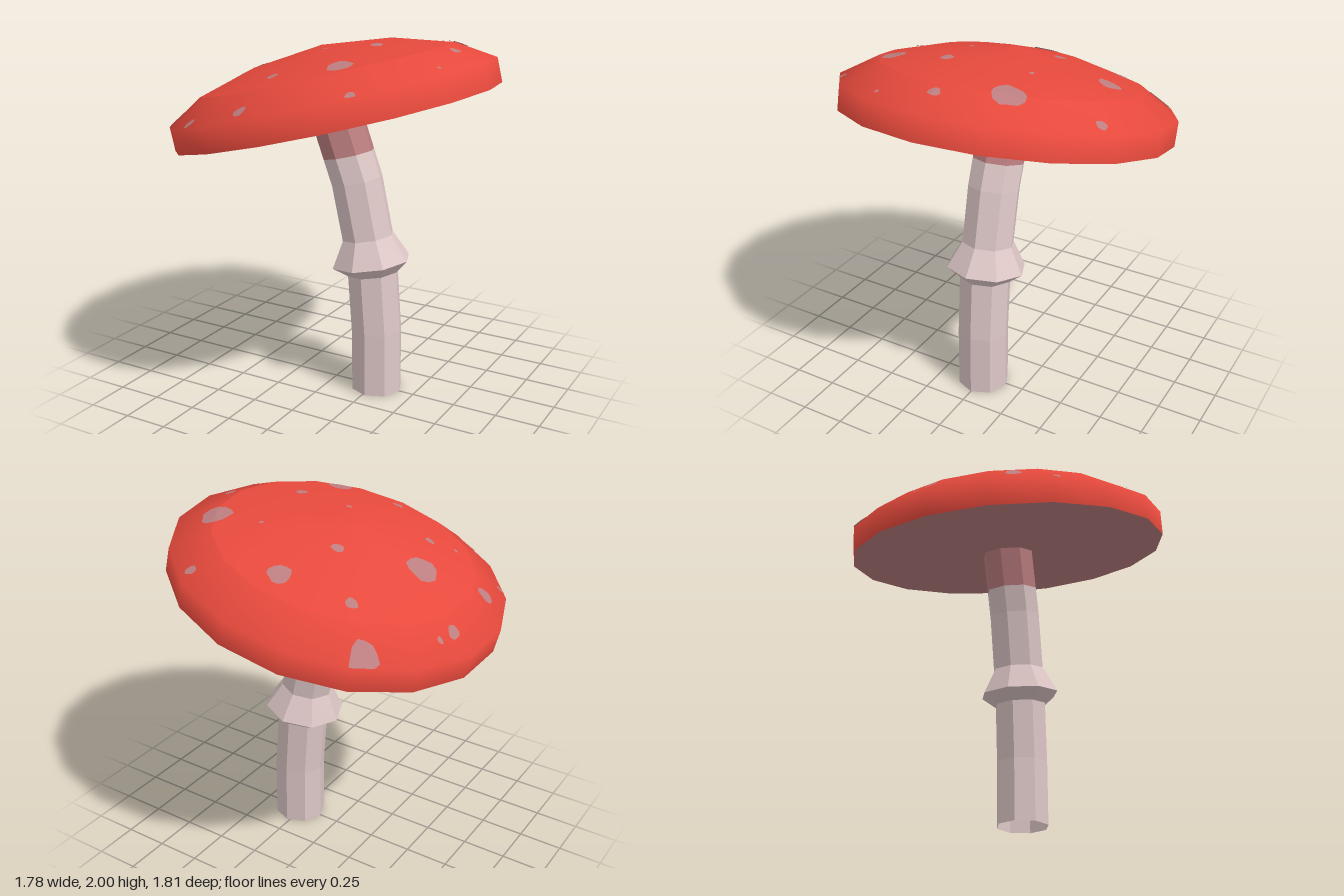
import * as THREE from 'three';

const red = new THREE.MeshStandardMaterial({ name: 'capRed', color: 0xe6493c });
const cream = new THREE.MeshStandardMaterial({ name: 'stemCream', color: 0xdec7c7, side: THREE.DoubleSide });
const pink = new THREE.MeshStandardMaterial({ name: 'dustyPink', color: 0xbc7e80, side: THREE.DoubleSide });

const TILT = THREE.MathUtils.degToRad(14.1);
const CENTRE = { x: 0.002, y: 1.568 };
const SIDES = 17;
// Cap profile from the rim up: [radius, height]
const PROFILE = [[0.91, 0], [0.91, 0.135], [0.71, 0.257], [0.387, 0.35], [0, 0.393]];

function addMesh(group, name, geometry, material) {
  const mesh = new THREE.Mesh(geometry, material);
  mesh.name = name;
  group.add(mesh);
}

function lathe(points) {
  return new THREE.LatheGeometry(points.map(([r, y]) => new THREE.Vector2(r, y)), SIDES, Math.PI / 2);
}

// Flat-sided octagonal skin through rings of [x, y, radius, tilt in degrees]
function loft(rings, sides = 8) {
  const positions = [], index = [];
  rings.forEach(([x, y, r, deg], i) => {
    const t = THREE.MathUtils.degToRad(deg);
    for (let j = 0; j < sides; j++) {
      const a = (j / sides) * Math.PI * 2;
      const u = r * Math.cos(a);
      positions.push(x + u * Math.cos(t), y + u * Math.sin(t), -r * Math.sin(a));
      if (i === rings.length - 1) continue;
      const p = i * sides + j, q = i * sides + (j + 1) % sides;
      index.push(p, q, p + sides, q, q + sides, p + sides);
    }
  });
  const indexed = new THREE.BufferGeometry();
  indexed.setAttribute('position', new THREE.Float32BufferAttribute(positions, 3));
  indexed.setIndex(index);
  const geometry = indexed.toNonIndexed();
  geometry.computeVertexNormals();
  return geometry;
}

// Radius of the cap polygon that passes through (u, z)
function polygonRadius(u, z) {
  const step = (Math.PI * 2) / SIDES;
  const a = (Math.atan2(-z, u) + Math.PI * 2) % step;
  return Math.hypot(u, z) * Math.cos(a - step / 2) / Math.cos(step / 2);
}

// Height of the faceted cap at a polygon radius
function capHeight(r) {
  for (let i = PROFILE.length - 1; i > 1; i--) {
    const [r0, y0] = PROFILE[i], [r1, y1] = PROFILE[i - 1];
    if (r <= r1) return y0 + (y1 - y0) * (r - r0) / (r1 - r0);
  }
  return PROFILE[1][1];
}

// Irregular patch laid onto the cap, placed by its position seen from above
function spotGeometry(x, z, rx, rz, seed) {
  const geometry = new THREE.RingGeometry(0, 1, 12, 4);
  geometry.rotateX(-Math.PI / 2);
  const pos = geometry.attributes.position;
  for (let i = 0; i < pos.count; i++) {
    const a = Math.atan2(pos.getZ(i), pos.getX(i));
    const wobble = 1 + 0.08 * Math.sin(3 * a + seed) + 0.05 * Math.sin(5 * a + 2 * seed);
    const wx = x + pos.getX(i) * rx * wobble;
    let wz = z + pos.getZ(i) * rz * wobble;
    let u = 0, v = 0.2;
    for (let k = 0; k < 8; k++) {
      u = (wx - CENTRE.x + v * Math.sin(TILT)) / Math.cos(TILT);
      v = capHeight(polygonRadius(u, wz));
    }
    const fit = Math.min(1, 0.912 / Math.max(polygonRadius(u, wz), 0.001));
    pos.setXYZ(i, u * fit, v + 0.005, wz * fit);
  }
  geometry.computeVertexNormals();
  return geometry;
}

// Spots: x, z, half width, half depth
const SPOTS = [
  [-0.58, -0.66, 0.065, 0.085], [-0.045, -0.575, 0.06, 0.06], [0.38, -0.73, 0.03, 0.028],
  [-0.405, -0.49, 0.032, 0.03], [0.54, -0.32, 0.082, 0.085], [-0.16, -0.235, 0.034, 0.032],
  [0.265, -0.295, 0.013, 0.012], [-0.775, -0.27, 0.015, 0.014], [-0.795, -0.17, 0.026, 0.036],
  [-0.51, 0.015, 0.075, 0.09], [0.69, -0.005, 0.028, 0.034], [0.325, 0.155, 0.032, 0.035],
  [0.04, 0.185, 0.016, 0.013], [-0.75, 0.27, 0.037, 0.045], [-0.39, 0.31, 0.026, 0.024],
  [-0.49, 0.425, 0.014, 0.012], [0.3, 0.5, 0.065, 0.065], [-0.04, 0.575, 0.029, 0.027],
  [0.735, 0.295, 0.011, 0.01], [0.475, 0.71, 0.027, 0.025], [-0.41, 0.78, 0.03, 0.025],
  [-0.06, 0.84, 0.033, 0.028], [-0.73, 0.5, 0.02, 0.02],
];

export function createModel() {
  const model = new THREE.Group();
  model.name = 'mushroom';

  // Curved stem with a flared collar and a pink neck
  const stem = new THREE.Group();
  stem.name = 'stem';
  model.add(stem);
  const R = 0.147;
  const lowerTop = [0.235, 0.7, R, 8];
  const collarTop = [0.2, 0.905, R, 10];
  const neckBase = [0.077, 1.362, R, 14];
  addMesh(stem, 'lowerStem', loft([[0.267, 0, R, 0], [0.262, 0.36, R, 3], lowerTop]), cream);
  addMesh(stem, 'collar', loft([lowerTop, [0.222, 0.76, 0.225, 9], collarTop]), cream);
  addMesh(stem, 'upperStem', loft([collarTop, [0.13, 1.22, R, 13], neckBase]), cream);
  addMesh(stem, 'neck', loft([neckBase, [0, 1.57, R, 14.1]]), pink);

  // Tilted cap: rim, crown, underside and spots
  const cap = new THREE.Group();
  cap.name = 'cap';
  cap.position.set(CENTRE.x, CENTRE.y, 0);
  cap.rotation.z = TILT;
  model.add(cap);
  addMesh(cap, 'capRim', lathe(PROFILE.slice(0, 3)), red);
  addMesh(cap, 'capCrown', lathe(PROFILE.slice(2)), red);
  addMesh(cap, 'capUnderside', lathe([[0, 0], [0.91, 0]]), pink);
  SPOTS.forEach((spot, i) => addMesh(cap, 'spot', spotGeometry(...spot, i * 1.7), pink));

  return model;
}
